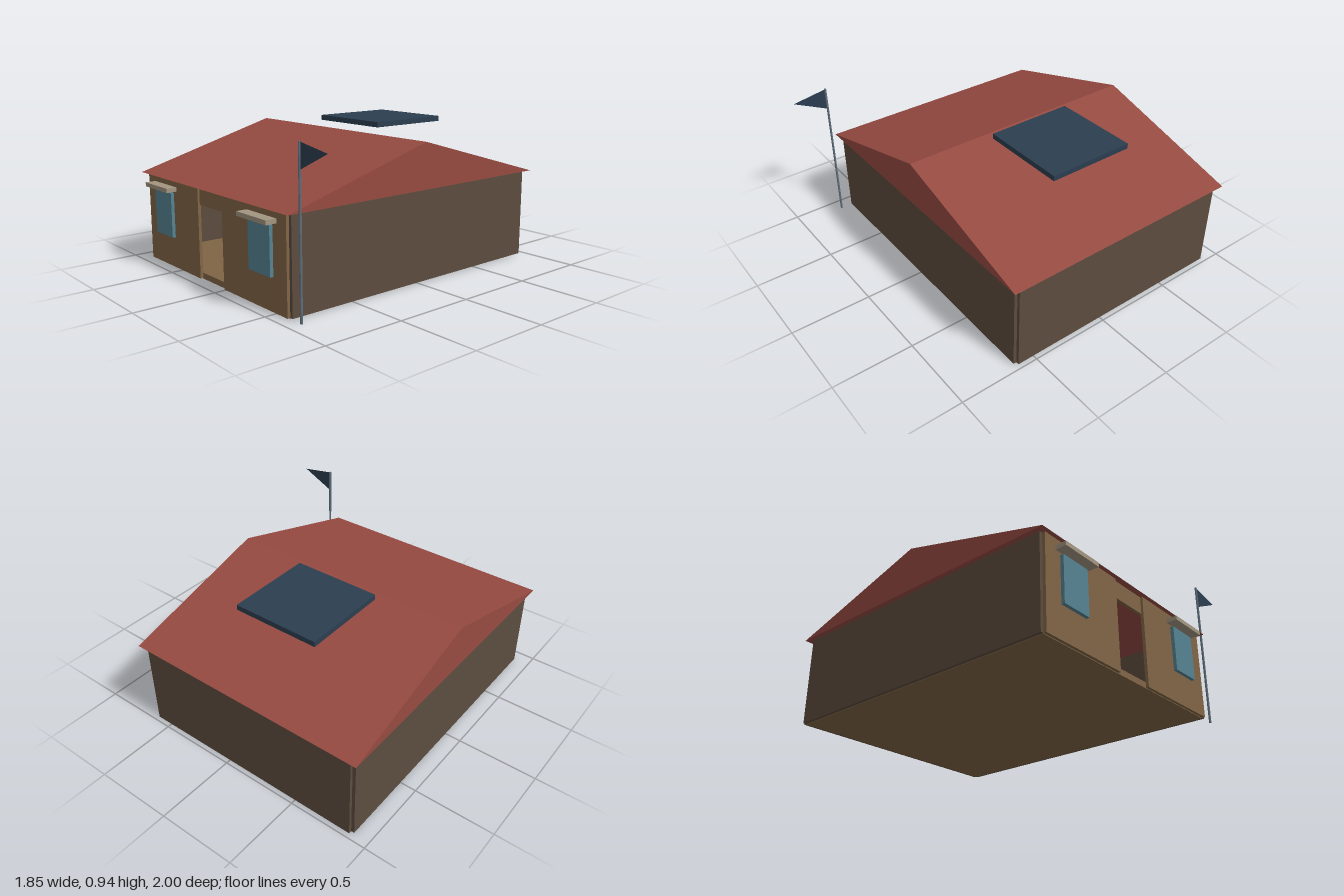
import * as THREE from 'three';

const mat = (color, side = THREE.FrontSide) =>
  new THREE.MeshStandardMaterial({ color, side, flatShading: true });

export function createModel() {
  const house = new THREE.Group();
  house.name = 'house';

  const timber = mat(0x806545);
  const wall = mat(0x5c4c3e);
  const red = mat(0x964a41);
  const navy = mat(0x2c3e50);
  const glass = mat(0x558391);
  const cream = mat(0xa39580);
  const steel = mat(0x5f6f7c);

  const add = (name, geometry, material) => {
    const mesh = new THREE.Mesh(geometry, material);
    mesh.name = name;
    house.add(mesh);
    return mesh;
  };
  // Box given by its extents on each axis
  const box = (name, material, [x0, x1], [y0, y1], [z0, z1]) =>
    add(name, new THREE.BoxGeometry(x1 - x0, y1 - y0, z1 - z0), material)
      .position.set((x0 + x1) / 2, (y0 + y1) / 2, (z0 + z1) / 2);

  // Hollow shell: floor, side walls and back wall, stepped at the corners
  const wallY = [0.004, 0.563];
  box('floor', timber, [-0.88, 0.607], [0, 0.037], [-0.954, 0.915]);
  box('rightWall', wall, [-0.9, -0.88], wallY, [-0.954, 0.915]);
  box('leftWall', wall, [0.607, 0.627], wallY, [-0.954, 0.915]);
  box('backWall', wall, [-0.88, 0.607], wallY, [-0.973, -0.954]);

  // Front wall around the open doorway
  box('frontWallRight', timber, [-0.88, -0.27], wallY, [0.914, 0.933]);
  box('frontWallLeft', timber, [-0.005, 0.607], wallY, [0.914, 0.933]);
  box('doorLintel', timber, [-0.27, -0.005], [0.455, 0.563], [0.9, 0.92]);

  // Windows with awnings, one on each side of the door
  for (const [side, x] of [['right', -0.66], ['left', 0.387]]) {
    box(side + 'Window', glass, [x - 0.101, x + 0.101], [0.2, 0.48], [0.933, 0.954]);
    box(side + 'Awning', cream, [x - 0.137, x + 0.137], [0.495, 0.521], [0.933, 1]);
  }

  // Gable roof: triangle in z and y, extruded along x
  const gable = new THREE.Shape([
    new THREE.Vector2(-0.958, 0.563),
    new THREE.Vector2(0.998, 0.563),
    new THREE.Vector2(0.02, 0.841),
  ]);
  const roofGeometry = new THREE.ExtrudeGeometry(gable, { depth: 1.586, bevelEnabled: false });
  roofGeometry.rotateY(Math.PI / 2).translate(-0.93, 0, 0);
  add('roof', roofGeometry, red);

  // Flat panel hovering over the rear slope
  box('roofPanel', navy, [-0.415, 0.14], [0.866, 0.899], [-0.671, -0.116]);

  // Flagpole and pennant
  add('flagpole', new THREE.CylinderGeometry(0.0075, 0.0075, 0.937, 8), steel)
    .position.set(0.703, 0.4685, 0.915);
  const pennant = new THREE.Shape([
    new THREE.Vector2(0.705, 0.795),
    new THREE.Vector2(0.923, 0.9),
    new THREE.Vector2(0.705, 0.935),
  ]);
  add('flag', new THREE.ShapeGeometry(pennant), mat(0x2c3e50, THREE.DoubleSide))
    .position.z = 0.915;

  return house;
}
